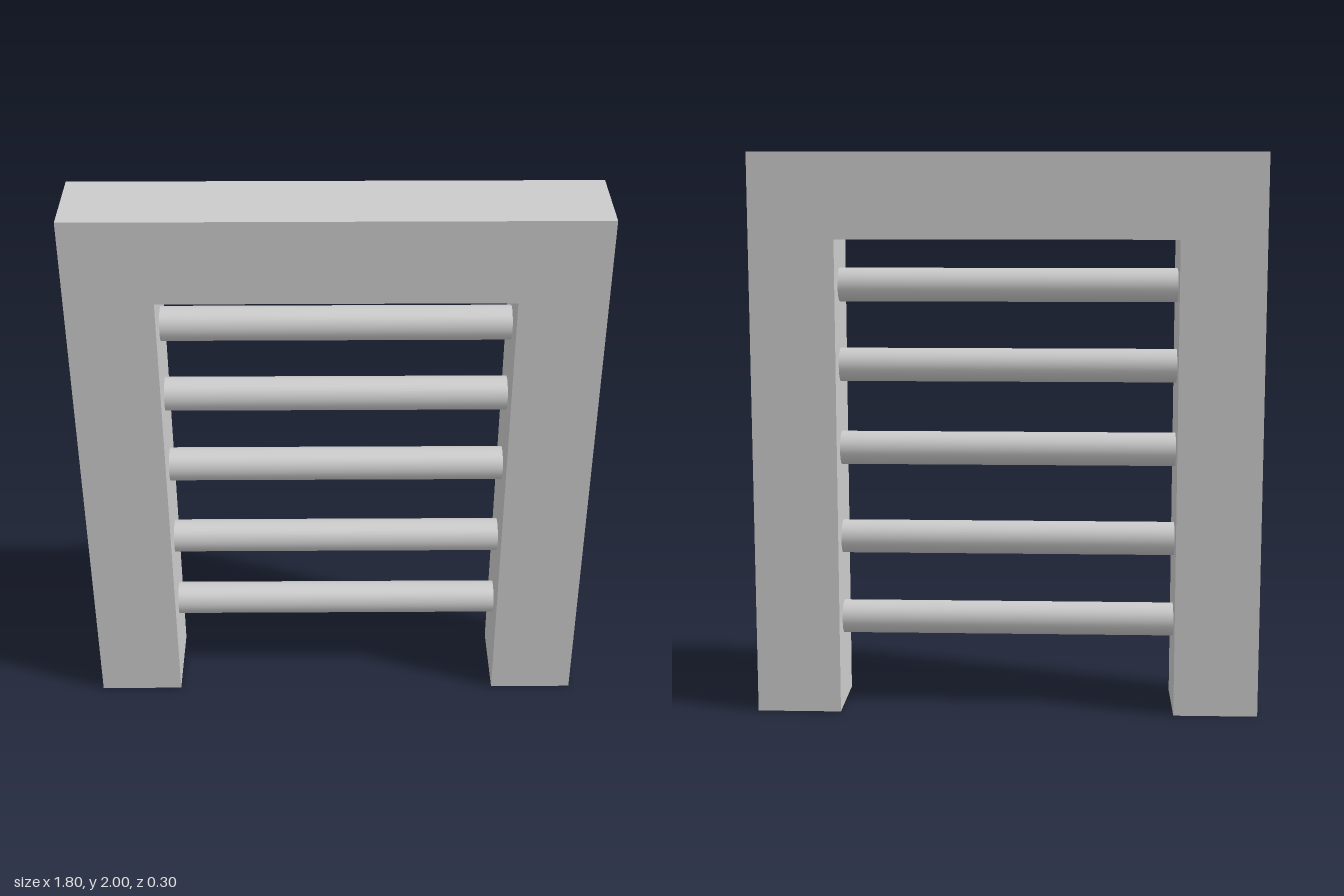
import * as THREE from 'three';

export function createModel() {
  const group = new THREE.Group();
  const material = new THREE.MeshStandardMaterial({ color: 0xcccccc });

  const add = (name, geometry, x, y, z) => {
    const mesh = new THREE.Mesh(geometry, material);
    mesh.name = name;
    mesh.position.set(x, y, z);
    group.add(mesh);
    return mesh;
  };

  // Two square posts carrying a top beam
  const postGeometry = new THREE.BoxGeometry(0.3, 1.7, 0.3);
  add('leftPost', postGeometry, 0.75, 0.85, 0);
  add('rightPost', postGeometry, -0.75, 0.85, 0);
  add('topBeam', new THREE.BoxGeometry(1.8, 0.3, 0.3), 0, 1.85, 0);

  // Slightly uneven round rungs between the posts
  const rungGeometry = new THREE.CylinderGeometry(0.06, 0.06, 1.2, 32);
  rungGeometry.rotateZ(Math.PI / 2);
  [0.32, 0.62, 0.947, 1.249, 1.535].forEach((y, i) => {
    add(`rung${i + 1}`, rungGeometry, 0, y, -0.01);
  });

  return group;
}
